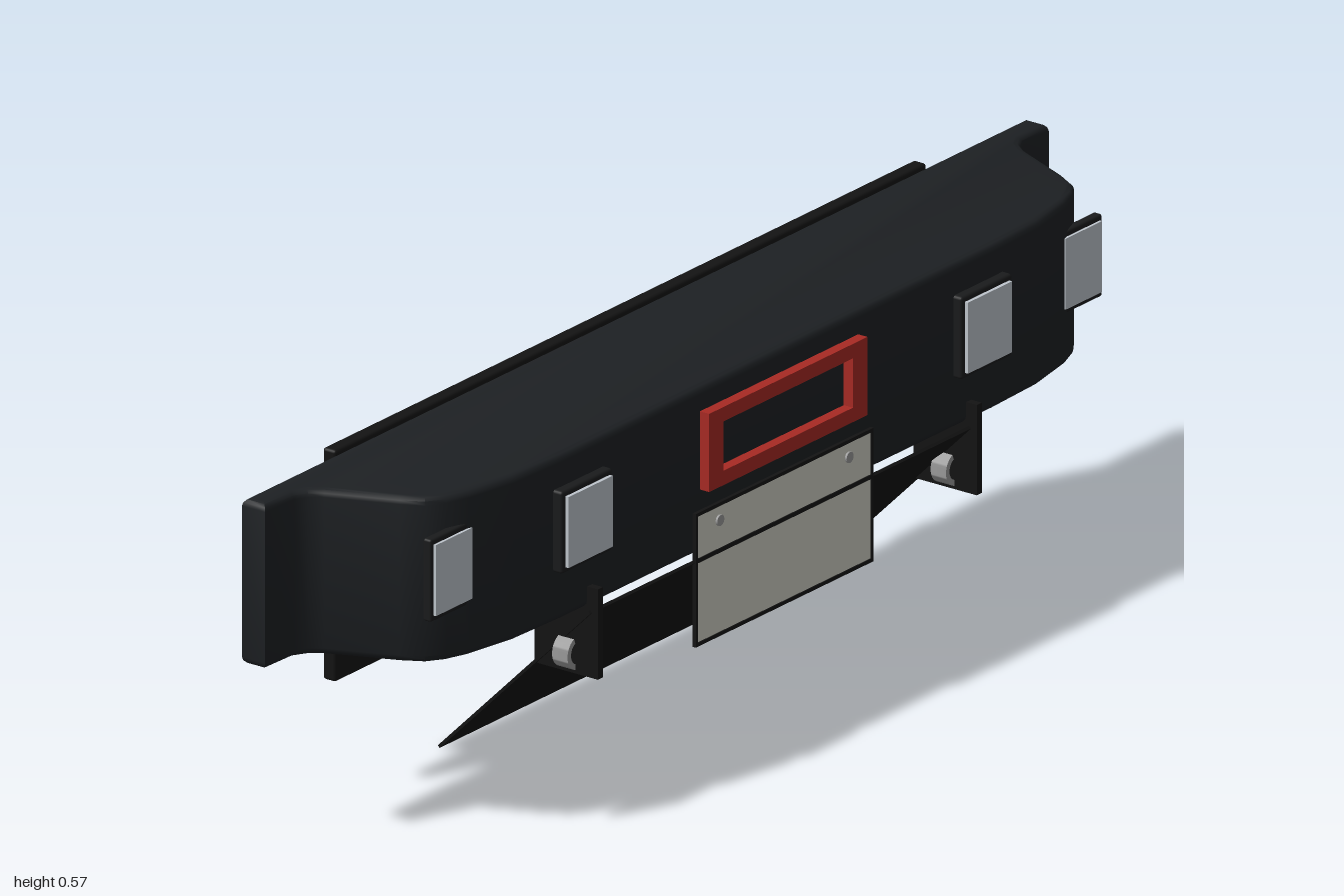
import * as THREE from 'three';
import { toCreasedNormals } from 'three/addons/utils/BufferGeometryUtils.js';
import { RoundedBoxGeometry } from 'three/addons/geometries/RoundedBoxGeometry.js';

const mat = (color) => new THREE.MeshStandardMaterial({ color });

export function createModel() {
  const model = new THREE.Group();
  const shell = mat(0x1d2023), black = mat(0x131313), trim = mat(0x1a1b1c);
  const lens = mat(0xbfc6cd), red = mat(0xa82a24), ivory = mat(0xd0d0c4), steel = mat(0x9a9a9a);

  const add = (name, geometry, material, x = 0, y = 0, z = 0) => {
    const mesh = new THREE.Mesh(geometry, material);
    mesh.name = name;
    mesh.position.set(x, y, z);
    model.add(mesh);
    return mesh;
  };
  // Box given by its limits, optionally with rounded edges
  const block = (name, material, [x0, x1], [y0, y1], [z0, z1], r = 0) => {
    const size = [x1 - x0, y1 - y0, z1 - z0];
    const geometry = r ? new RoundedBoxGeometry(...size, 2, r) : new THREE.BoxGeometry(...size);
    return add(name, geometry, material, (x0 + x1) / 2, (y0 + y1) / 2, (z0 + z1) / 2);
  };
  const rect = (Type, w, h) => new Type([[-w, -h], [w, -h], [w, h], [-w, h]].map((p) => new THREE.Vector2(...p)));
  // Rectangular frame facing the front, sizes as half extents
  const frame = (name, material, w, h, border, depth, y, z) => {
    const shape = rect(THREE.Shape, w, h);
    shape.holes.push(rect(THREE.Path, w - border[0], h - border[1]));
    return add(name, new THREE.ExtrudeGeometry(shape, { depth, bevelEnabled: false }), material, 0, y, z);
  };

  // Bumper shell: plan outline (x, z) with swept corners and end flanges
  const half = [[1, -0.12], [1, -0.075], [0.93, -0.072], [0.91, -0.06], [0.895, -0.04], [0.848, 0.07],
    [0.828, 0.105], [0.8, 0.125], [0.76, 0.14], [0.67, 0.157], [0.55, 0.162]];
  const outline = [...half, ...half.map(([x, z]) => [-x, z]).reverse()];
  const bevel = 0.012;
  const body = new THREE.ExtrudeGeometry(new THREE.Shape(outline.map((p) => new THREE.Vector2(...p))), {
    depth: 0.275 - 2 * bevel, bevelThickness: bevel, bevelSize: bevel, bevelOffset: -bevel, bevelSegments: 3,
  });
  body.rotateX(Math.PI / 2);
  add('bumperShell', toCreasedNormals(body, 0.6), shell, 0, 0.575 - bevel, 0);

  // Rear mounting plate
  block('mountingPlate', black, [-0.755, 0.755], [0.19, 0.575], [-0.15, -0.125], 0.005);

  // Sloping skid plate, from the lower front edge down to the rear
  const top = [0.17, 0.295], bottom = [-0.122, 0.002];
  const run = top[0] - bottom[0], rise = top[1] - bottom[1];
  const skid = add('skidPlate', new THREE.BoxGeometry(0.99, 0.005, Math.hypot(run, rise)), black,
    0, (top[1] + bottom[1]) / 2, (top[0] + bottom[0]) / 2);
  skid.rotation.x = -Math.atan2(rise, run);

  // Red surround in the middle of the face
  frame('redSurround', red, 0.202, 0.065, [0.037, 0.024], 0.02, 0.47, 0.16);

  // Blank registration plate with dark rim and divider
  block('registrationPlate', ivory, [-0.223, 0.223], [0.155, 0.372], [0.167, 0.171]);
  frame('plateRim', black, 0.227, 0.111, [0.006, 0.006], 0.006, 0.2635, 0.167);
  block('plateDivider', black, [-0.223, 0.223], [0.291, 0.298], [0.168, 0.173]);

  // Hook ring section, open at the top
  const hookShape = new THREE.Shape();
  hookShape.absarc(0, 0, 0.028, 2.0, 1.1 + Math.PI * 2, false);
  hookShape.absarc(0, 0, 0.019, 1.1 + Math.PI * 2, 2.0, true);
  const hook = toCreasedNormals(
    new THREE.ExtrudeGeometry(hookShape, { depth: 0.03, bevelEnabled: false, curveSegments: 24 }), 0.6);

  for (const s of [1, -1]) {
    const span = (a, b) => (s > 0 ? [a, b] : [-b, -a]);
    // Chassis mounts through the back
    block('chassisMount', trim, span(0.405, 0.5), [0.273, 0.438], [-0.183, 0.093], 0.006);
    // Inner and outer square lamps
    block('innerLampHousing', trim, span(0.445, 0.575), [0.385, 0.522], [0.155, 0.178], 0.005);
    block('innerLampLens', lens, span(0.453, 0.566), [0.395, 0.513], [0.17, 0.184]);
    block('outerLampHousing', trim, span(0.748, 0.857), [0.385, 0.522], [0.122, 0.138], 0.004);
    block('outerLampLens', lens, span(0.757, 0.85), [0.395, 0.513], [0.13, 0.1425]);
    // Tow brackets with their hooks
    block('towBracket', black, span(0.477, 0.49), [0.185, 0.335], [0.06, 0.183]);
    add('towHook', hook, steel, s * 0.483, 0.218, 0.11);
    // Registration plate bolts
    const bolt = new THREE.CylinderGeometry(0.009, 0.009, 0.005, 16).rotateX(Math.PI / 2);
    add('plateBolt', bolt, steel, s * 0.165, 0.345, 0.172);
  }
  return model;
}
